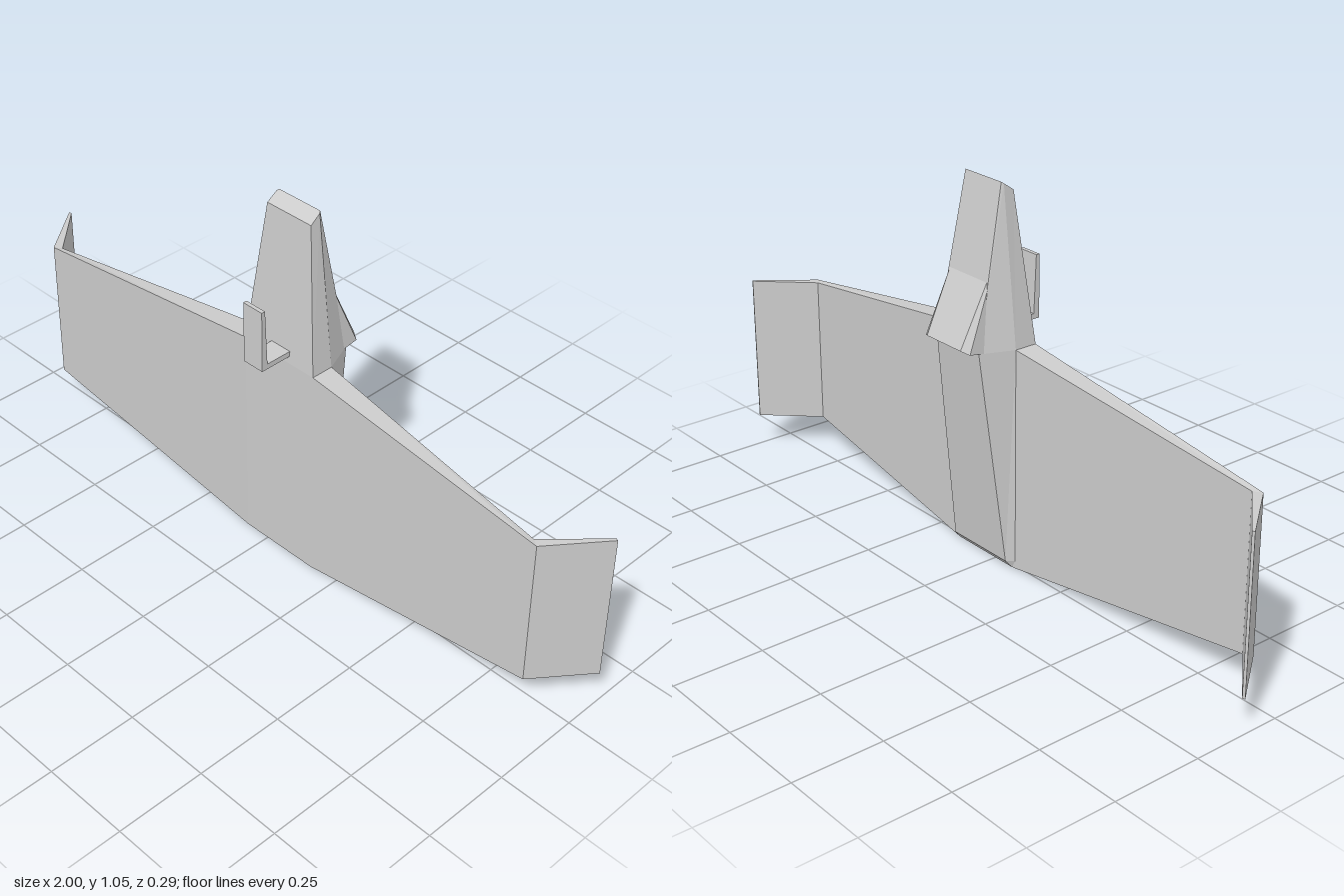
import * as THREE from 'three';

const material = new THREE.MeshStandardMaterial({ color: 0xcccccc, flatShading: true });
const CX = 0.043; // fuselage centre line

// Faceted solid through a list of rings with convex end caps.
function loft(rings) {
  const n = rings[0].length;
  const index = [];
  for (let r = 0; r < rings.length - 1; r++) {
    for (let i = 0; i < n; i++) {
      const a = r * n + i, b = r * n + (i + 1) % n;
      index.push(a, b, b + n, a, b + n, a + n);
    }
  }
  const last = (rings.length - 1) * n;
  for (let i = 1; i < n - 1; i++) {
    index.push(0, i + 1, i, last, last + i, last + i + 1);
  }
  const g = new THREE.BufferGeometry();
  g.setAttribute('position', new THREE.Float32BufferAttribute(rings.flat(2), 3));
  g.setIndex(index);
  const flat = g.toNonIndexed();
  flat.computeVertexNormals();
  return flat;
}

// Mirrors half a ring of [halfWidth, y, z] about the fuselage centre line.
function ring(half) {
  const right = half.map(([w, y, z]) => [CX + w, y, z]);
  const left = half.map(([w, y, z]) => [CX - w, y, z]).reverse();
  return [...right, ...left];
}

function add(group, name, geometry) {
  const mesh = new THREE.Mesh(geometry, material);
  mesh.name = name;
  group.add(mesh);
  return mesh;
}

export function createModel() {
  const model = new THREE.Group();
  model.name = 'aircraft';

  // Fuselage: tail end, body and tapering nose with a slanted tip
  add(model, 'fuselage', loft([
    ring([[0.122, 0, 0.055], [0.122, 0, -0.008], [0.112, 0, -0.012]]),
    ring([[0.122, 0.022, 0.055], [0.122, 0.022, -0.01], [0.106, 0.022, -0.03]]),
    ring([[0.122, 0.625, 0.055], [0.122, 0.625, -0.01], [0.085, 0.625, -0.1]]),
    ring([[0.075, 1.03, 0.02], [0.074, 1.051, -0.01], [0.07, 1.055, -0.015]]),
  ]));

  // Wedge-shaped canopy on the back of the nose
  add(model, 'canopy', loft([
    ring([[0.09, 0.625, -0.085], [0.09, 0.632, -0.132], [0.068, 0.64, -0.145]]),
    ring([[0.078, 0.81, -0.05], [0.078, 0.812, -0.057], [0.074, 0.814, -0.06]]),
  ]));

  // Tapered wing with raised winglets, lofted from tip to tip
  const section = (xf, xb, y0, y1, zf, zb) =>
    [[xf, y0, zf], [xb, y0, zb], [xb, y1, zb], [xf, y1, zf]];
  const winglet = s => section(s, s * 0.993, 0.095, 0.522, -0.105, -0.108);
  const bend = s => section(s * 0.883, s * 0.862, 0.095, 0.522, 0.045, 0.03);
  const root = s => section(CX + s * 0.122, CX + s * 0.122, 0, 0.625, 0.055, -0.01);
  add(model, 'wing', loft([winglet(-1), bend(-1), root(-1), root(1), bend(1), winglet(1)]));

  // L-shaped probe under the nose
  const profile = new THREE.Shape([
    [0.04, 0.645], [0.147, 0.645], [0.147, 0.82], [0.136, 0.82], [0.129, 0.66], [0.04, 0.66],
  ].map(([z, y]) => new THREE.Vector2(z, y)));
  const probe = new THREE.ExtrudeGeometry(profile, { depth: 0.065, bevelEnabled: false });
  probe.rotateY(-Math.PI / 2);
  add(model, 'probe', probe).position.x = 0.08;

  return model;
}
